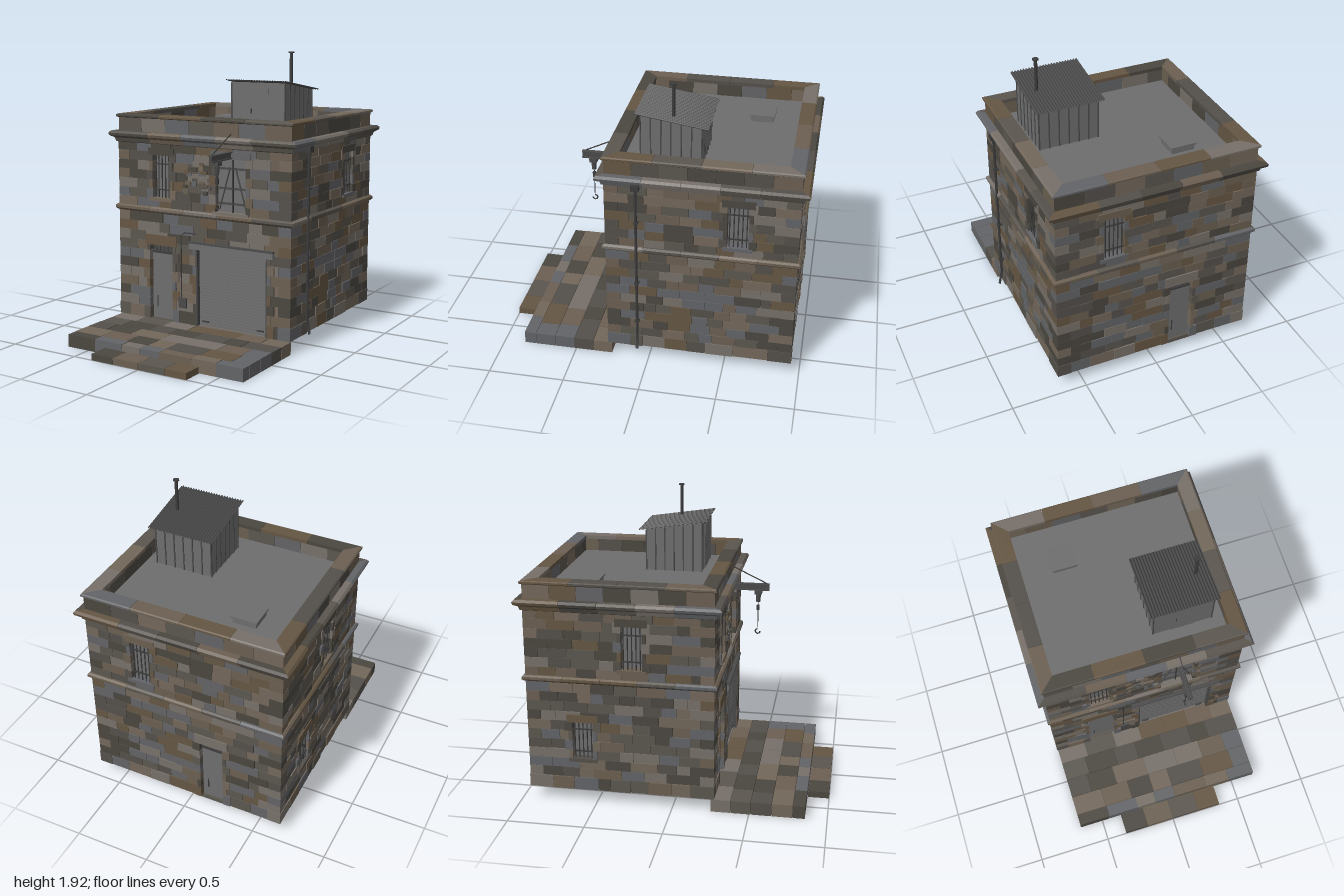
import * as THREE from 'three';
import { mergeGeometries } from 'three/addons/utils/BufferGeometryUtils.js';

const STONE = [0x6b5f51, 0x5b564f, 0x73675a, 0x54504b, 0x655643, 0x636467, 0x4b4740, 0x777069];
const STEEL = 0x3c3c3c, PANEL = 0x6e6e6e, CORE = 0x777573, DARK = 0x4a4a4a;
let seed = 7;
const rnd = (a = 0, b = 1) => {
  seed = (seed * 16807) % 2147483647;
  return a + (b - a) * seed / 2147483647;
};
const mat = (color, side = THREE.FrontSide) => new THREE.MeshStandardMaterial({ color, side });
const stoneMats = STONE.map((c) => mat(c));

function add(parent, name, geo, color, x = 0, y = 0, z = 0, side) {
  const m = new THREE.Mesh(geo, mat(color, side));
  m.name = name;
  m.position.set(x, y, z);
  parent.add(m);
  return m;
}
// Box given by its limits
const span = (x0, x1, y0, y1, z0, z1) =>
  new THREE.BoxGeometry(x1 - x0, y1 - y0, z1 - z0).translate((x0 + x1) / 2, (y0 + y1) / 2, (z0 + z1) / 2);
const rod = (pts, r, n = 8) => {
  const path = new THREE.CurvePath();
  const v = pts.map((p) => new THREE.Vector3(...p));
  for (let i = 1; i < v.length; i++) path.add(new THREE.LineCurve3(v[i - 1], v[i]));
  return new THREE.TubeGeometry(path, (v.length - 1) * 6, r, n);
};

// Collects stones by tint and merges each tint into one mesh
function stonePile() {
  const bins = STONE.map(() => []);
  return {
    put(geo) { bins[Math.floor(rnd(0, STONE.length))].push(geo); },
    build(parent, name) {
      bins.forEach((b, i) => {
        if (!b.length) return;
        const m = new THREE.Mesh(mergeGeometries(b.map((g) => (g.index ? g.toNonIndexed() : g))), stoneMats[i]);
        m.name = name;
        parent.add(m);
      });
    },
  };
}
// Fill a stretch of a course with stones of uneven length
function layCourse(pile, a, b, make, lo = 0.08, hi = 0.19) {
  while (b - a > 0.004) {
    let w = rnd(lo, hi);
    if (b - a - w < lo * 0.7) w = b - a;
    pile.put(make(a + 0.0012, a + w - 0.0012));
    a += w;
  }
}

// Course lines: plinth, ground floor, upper floor
const courses = [[0.09, 0.175]];
for (let i = 0; i < 10; i++) courses.push([0.175 + i * 0.0655, 0.2405 + i * 0.0655]);
for (let i = 0; i < 7; i++) courses.push([0.865 + i * 0.06357, 0.865 + (i + 1) * 0.06357]);
const quoinLength = (i, side) => ((i + side) % 2 ? 0.15 : 0.085);

// Moulded stone run with mitred ends; profile points are [offset, y]
function moulding(pile, profile, W, n) {
  const shape = new THREE.Shape(profile.map((p) => new THREE.Vector2(...p)));
  for (let i = 0; i < n; i++) {
    const u0 = -W / 2 + (W * i) / n + 0.001, u1 = -W / 2 + (W * (i + 1)) / n - 0.001;
    const g = new THREE.ExtrudeGeometry(shape, { depth: 1, bevelEnabled: false });
    const p = g.attributes.position;
    for (let k = 0; k < p.count; k++) {
      const off = p.getX(k), start = p.getZ(k) > 0.5;
      let u = start ? u0 : u1;
      if (start && i === 0) u = -W / 2 - off;
      if (!start && i === n - 1) u = W / 2 + off;
      p.setXYZ(k, u, p.getY(k), off);
    }
    g.computeVertexNormals();
    pile.put(g);
  }
}
const band = [[0, 0.828], [0.014, 0.836], [0.022, 0.845], [0.022, 0.862], [0.01, 0.872], [-0.03, 0.872], [-0.03, 0.828]];
const cornice = [[0, 1.298], [0.014, 1.305], [0.022, 1.33], [0.048, 1.345], [0.053, 1.362], [0.04, 1.377], [-0.06, 1.377], [-0.06, 1.298]];
const parapet = [[0, 1.375], [0, 1.47], [-0.08, 1.47], [-0.08, 1.375]];
const coping = [[0.004, 1.468], [0.013, 1.474], [0.013, 1.486], [0.005, 1.492], [-0.085, 1.492], [-0.085, 1.468]];

// What fills each kind of opening; all sit behind the stone face
const fillings = {
  window(g, o) {
    add(g, 'windowPane', span(o.u - o.w / 2, o.u + o.w / 2, o.y0, o.y1, -0.05, -0.045), PANEL);
    for (let i = 0; i < 5; i++) {
      const x = o.u + ((i - 2) * o.w) / 5;
      add(g, 'windowBar', rod([[x, o.y0, -0.008], [x, o.y1, -0.008]], 0.004, 6), STEEL);
    }
    for (const t of [0.2, 0.8])
      add(g, 'windowCrossBar', span(o.u - o.w / 2, o.u + o.w / 2, o.y0 + t * (o.y1 - o.y0) - 0.004, o.y0 + t * (o.y1 - o.y0) + 0.004, -0.012, -0.004), STEEL);
  },
  door(g, o) {
    const l = o.u - o.w / 2, r = o.u + o.w / 2, t = o.y1 - 0.055;
    add(g, 'doorLeaf', span(l, r, o.y0, t, -0.045, -0.03), PANEL);
    add(g, 'transomPane', span(l, r, t, o.y1, -0.05, -0.045), DARK);
    add(g, 'transomRail', span(l, r, t - 0.006, t + 0.006, -0.045, -0.022), STEEL);
    for (let i = 1; i < 6; i++) add(g, 'transomBar', rod([[l + (i * o.w) / 6, t, -0.03], [l + (i * o.w) / 6, o.y1, -0.03]], 0.003, 6), STEEL);
    add(g, 'doorHandle', rod([[l + 0.04, 0.17, -0.024], [l + 0.04, 0.25, -0.024]], 0.004, 6), STEEL);
  },
  shutter(g, o) {
    const l = o.u - o.w / 2, r = o.u + o.w / 2, n = 26, h = (o.y1 - o.y0) / n;
    for (let i = 0; i < n; i++) add(g, 'shutterSlat', span(l, r, o.y0 + i * h, o.y0 + (i + 0.88) * h, -0.035, -0.024), PANEL);
    add(g, 'shutterBacking', span(l, r, o.y0, o.y1, -0.036, -0.03), PANEL);
    for (const x of [l, r]) add(g, 'shutterGuide', span(x - 0.01, x + 0.01, o.y0, o.y1, -0.04, 0.006), DARK);
    for (const x of [l + 0.06, r - 0.06]) add(g, 'shutterHandle', span(x - 0.025, x + 0.025, 0.118, 0.126, -0.025, -0.012), STEEL);
    add(g, 'shutterHood', span(l - 0.05, r + 0.045, 0.615, 0.662, -0.03, 0.02), PANEL);
    add(g, 'shutterHoodCap', span(l - 0.054, r + 0.049, 0.655, 0.666, -0.03, 0.025), DARK);
  },
  loadingDoor(g, o) {
    const l = o.u - o.w / 2, r = o.u + o.w / 2;
    add(g, 'loadingDoorLeaf', span(l, r, o.y0, o.y1, -0.045, -0.03), PANEL);
    for (const y of [0.94, 1.04, 1.17]) add(g, 'loadingDoorBatten', span(l, r, y - 0.007, y + 0.007, -0.03, -0.022), DARK);
    add(g, 'loadingDoorSeam', span(o.u - 0.004, o.u + 0.004, o.y0, o.y1, -0.03, -0.02), STEEL);
    for (const s of [-1, 1]) add(g, 'loadingDoorBrace', rod([[o.u + s * 0.02, 1.18, -0.024], [o.u + s * 0.1, 0.9, -0.024]], 0.005, 5), DARK);
  },
};

// One wall in its own frame: u along x, outward +z, outer face at z = 0
function wall(name, W, side, openings) {
  const g = new THREE.Group(), pile = stonePile();
  g.name = name;
  const hw = W / 2 - 0.02;
  const rect = (T, a, b, c, d) => new T([[a, c], [b, c], [b, d], [a, d]].map((p) => new THREE.Vector2(...p)));
  const shape = rect(THREE.Shape, -hw, hw, 0.086, 1.38);
  for (const o of openings) shape.holes.push(rect(THREE.Path, o.u - o.w / 2, o.u + o.w / 2, o.y0, o.y1));
  add(g, 'wallCore', new THREE.ShapeGeometry(shape), CORE, 0, 0, -0.02, THREE.DoubleSide);
  courses.forEach(([y0, y1], i) => {
    const end = W / 2 - quoinLength(i, side), jut = i ? 0 : 0.004;
    const cut = openings.filter((o) => o.y0 < y1 - 0.012 && o.y1 > y0 + 0.012).sort((a, b) => a.u - b.u);
    let a = -end;
    const stone = (l, r) => span(l, r, y0 + 0.001, y1 - 0.001, -0.021, jut + rnd(-0.003, 0.005));
    for (const o of cut) {
      const j = i % 2 ? 0.025 : 0.05, l = o.u - o.w / 2, r = o.u + o.w / 2;
      layCourse(pile, a, l - j, stone);
      for (const [p, q] of [[l - j, l], [r, r + j]]) pile.put(span(p, q, y0 + 0.001, y1 - 0.001, -0.07, 0.009));
      a = r + j;
    }
    layCourse(pile, a, end, stone);
  });
  // Lintels, sills and thresholds
  for (const o of openings) {
    const l = o.u - o.w / 2, r = o.u + o.w / 2;
    if (o.kind !== 'shutter') pile.put(span(l - 0.035, r + 0.035, o.y1, o.y1 + (o.kind === 'door' ? 0.07 : 0.05), -0.07, 0.011));
    if (o.y0 > 0.2) pile.put(span(l - 0.025, r + 0.025, o.y0 - 0.02, o.y0 + 0.004, -0.06, 0.016));
    else pile.put(span(l - 0.02, r + 0.02, 0.065, 0.092, -0.085, -0.015));
    fillings[o.kind](g, o);
  }
  moulding(pile, band, W, 5);
  moulding(pile, cornice, W, 5);
  moulding(pile, parapet, W, 7);
  moulding(pile, coping, W, 4);
  // Rough repair beside the loading door
  if (name === 'frontWall')
    for (let i = 0; i < 26; i++) {
      const x = rnd(-0.15, 0.03), y = rnd(0.97, 1.2), w = rnd(0.025, 0.06);
      pile.put(span(x, x + w, y, y + rnd(0.02, 0.035), -0.02, rnd(0.005, 0.012)));
    }
  pile.build(g, name + 'Stones');
  return g;
}

export function createModel() {
  seed = 7;
  const root = new THREE.Group();
  root.name = 'stoneWarehouse';
  const win = (u, y0 = 0.935, y1 = 1.225) => ({ kind: 'window', u, w: 0.135, y0, y1 });
  const zc = -0.335, hx = 0.665, hz = 0.605;
  const front = wall('frontWall', 1.33, 0, [
    { kind: 'door', u: -0.32, w: 0.185, y0: 0.09, y1: 0.61 },
    { kind: 'shutter', u: 0.23, w: 0.54, y0: 0.09, y1: 0.62 },
    win(-0.315), { kind: 'loadingDoor', u: 0.228, w: 0.225, y0: 0.88, y1: 1.235 }]);
  const back = wall('backWall', 1.33, 0, [win(-0.29), { kind: 'door', u: 0.185, w: 0.16, y0: 0.09, y1: 0.57 }]);
  const leftSide = wall('leftWall', 1.21, 1, [win(0.232)]);
  const rightSide = wall('rightWall', 1.21, 1, [win(0.085), win(-0.245, 0.31, 0.565)]);
  [[front, 0, zc + hz, 0], [leftSide, hx, zc, Math.PI / 2], [back, 0, zc - hz, Math.PI], [rightSide, -hx, zc, -Math.PI / 2]]
    .forEach(([w, x, z, a]) => { w.position.set(x, 0, z); w.rotation.y = a; root.add(w); });

  // Alternating corner stones
  const corners = stonePile();
  courses.forEach(([y0, y1], i) => {
    const lx = quoinLength(i, 0), lz = quoinLength(i, 1), j = i ? 0.003 : 0.006;
    for (const sx of [-1, 1]) for (const sz of [-1, 1])
      corners.put(new THREE.BoxGeometry(lx + j, y1 - y0 - 0.002, lz + j)
        .translate(sx * (hx + (j - lx) / 2), (y0 + y1) / 2, zc + sz * (hz + (j - lz) / 2)));
  });
  corners.build(root, 'cornerStones');

  // Paved landing and step
  const paving = stonePile();
  [0.25, 0.38, 0.51, 0.645, 0.78, 0.86].forEach((z, i, zs) => {
    if (i < 5) layCourse(paving, -0.665, 0.665, (a, b) => span(a, b, 0, 0.085 + rnd(-0.002, 0.002), z + 0.0015, zs[i + 1] - 0.0015), 0.13, 0.25);
  });
  layCourse(paving, -0.36, 0.355, (a, b) => span(a, b, 0, 0.043, 0.862, 1), 0.16, 0.2);
  paving.build(root, 'landingPaving');

  // Roof deck, hatch and shed
  add(root, 'roofDeck', span(-0.62, 0.62, 1.36, 1.382, -0.9, 0.23), PANEL);
  add(root, 'hatchCurb', span(-0.37, -0.215, 1.38, 1.42, -0.68, -0.53), PANEL);
  add(root, 'hatchLid', span(-0.38, -0.205, 1.42, 1.432, -0.69, -0.52), PANEL);
  const side = new THREE.Shape([[-0.07, 1.38], [0.31, 1.38], [0.31, 1.663], [-0.07, 1.72]].map((p) => new THREE.Vector2(...p)));
  const shed = new THREE.Group();
  shed.name = 'roofShed';
  root.add(shed);
  add(shed, 'shedBody', new THREE.ExtrudeGeometry(side, { depth: 0.395, bevelEnabled: false }).rotateY(Math.PI / 2).translate(0.115, 0, 0), PANEL);
  const roofY = (z) => 1.72 + (z - 0.07) * 0.15;
  for (let i = 0; i <= 6; i++) {
    const x = 0.115 + (i * 0.395) / 6, z = 0.07 - (i * 0.38) / 6;
    add(shed, 'shedBackSeam', span(x - 0.004, x + 0.004, 1.38, 1.66, -0.315, -0.309), DARK);
    for (const sx of [0.115, 0.51]) add(shed, 'shedSideSeam', span(sx - 0.004, sx + 0.004, 1.38, roofY(z) - 0.004, z - 0.004, z + 0.004), DARK);
  }
  add(shed, 'shedDoor', span(0.23, 0.39, 1.38, 1.685, 0.069, 0.074), PANEL);
  add(shed, 'shedDoorHandle', span(0.262, 0.268, 1.52, 1.55, 0.072, 0.082), STEEL);
  const sheet = new THREE.PlaneGeometry(0.455, 0.455, 144, 1).rotateX(-Math.PI / 2).translate(0.3125, 0, -0.1275);
  const p = sheet.attributes.position;
  for (let i = 0; i < p.count; i++)
    p.setY(i, roofY(p.getZ(i)) + 0.008 + 0.005 * Math.sin(((p.getX(i) - 0.085) / 0.455) * 24 * Math.PI * 2));
  sheet.computeVertexNormals();
  add(shed, 'corrugatedRoof', sheet, DARK, 0, 0, 0, THREE.DoubleSide);
  add(shed, 'stovePipe', new THREE.CylinderGeometry(0.011, 0.011, 0.24, 12), STEEL, 0.45, 1.79, -0.125);
  add(shed, 'stovePipeCap', new THREE.CylinderGeometry(0.02, 0.02, 0.008, 12), STEEL, 0.45, 1.912, -0.125);

  // Hoist above the loading door
  const hoist = new THREE.Group();
  hoist.name = 'hoist';
  hoist.position.x = 0.228;
  root.add(hoist);
  for (const y of [1.244, 1.282]) add(hoist, 'jibFlange', span(-0.016, 0.016, y - 0.004, y + 0.004, 0.24, 0.52), DARK);
  add(hoist, 'jibWeb', span(-0.005, 0.005, 1.244, 1.282, 0.24, 0.518), DARK);
  add(hoist, 'jibStay', rod([[0, 1.285, 0.51], [0, 1.405, 0.26]], 0.004, 6), STEEL);
  add(hoist, 'trolley', span(-0.024, 0.024, 1.215, 1.24, 0.42, 0.47), DARK);
  add(hoist, 'hoistDrum', new THREE.CylinderGeometry(0.018, 0.014, 0.055, 12), DARK, 0, 1.185, 0.445);
  add(hoist, 'hoistChain', rod([[0, 1.16, 0.445], [0, 0.97, 0.445]], 0.003, 6), STEEL);
  add(hoist, 'hookBlock', span(-0.009, 0.009, 1.1, 1.135, 0.436, 0.454), STEEL);
  add(hoist, 'hook', new THREE.TorusGeometry(0.016, 0.005, 6, 14, Math.PI * 1.5).rotateZ(-Math.PI).rotateY(Math.PI / 2), STEEL, 0, 0.945, 0.445);

  // Downpipe, and conduit with its switch box
  add(root, 'downpipe', rod([[0.686, 1.33, 0.07], [0.686, 0.13, 0.07], [0.706, 0.095, 0.07]], 0.009), STEEL);
  add(root, 'downpipeHopper', span(0.665, 0.708, 1.29, 1.33, 0.045, 0.095), STEEL);
  for (const y of [0.3, 0.6, 1.05]) add(root, 'downpipeBracket', span(0.66, 0.698, y, y + 0.012, 0.056, 0.084), STEEL);
  add(root, 'conduit', rod([[-0.155, 0.26, 0.28], [-0.155, 0.72, 0.28], [-0.03, 0.72, 0.28]], 0.004, 6), STEEL);
  add(root, 'switchBox', span(-0.175, -0.115, 0.2, 0.27, 0.265, 0.288), DARK);
  return root;
}
